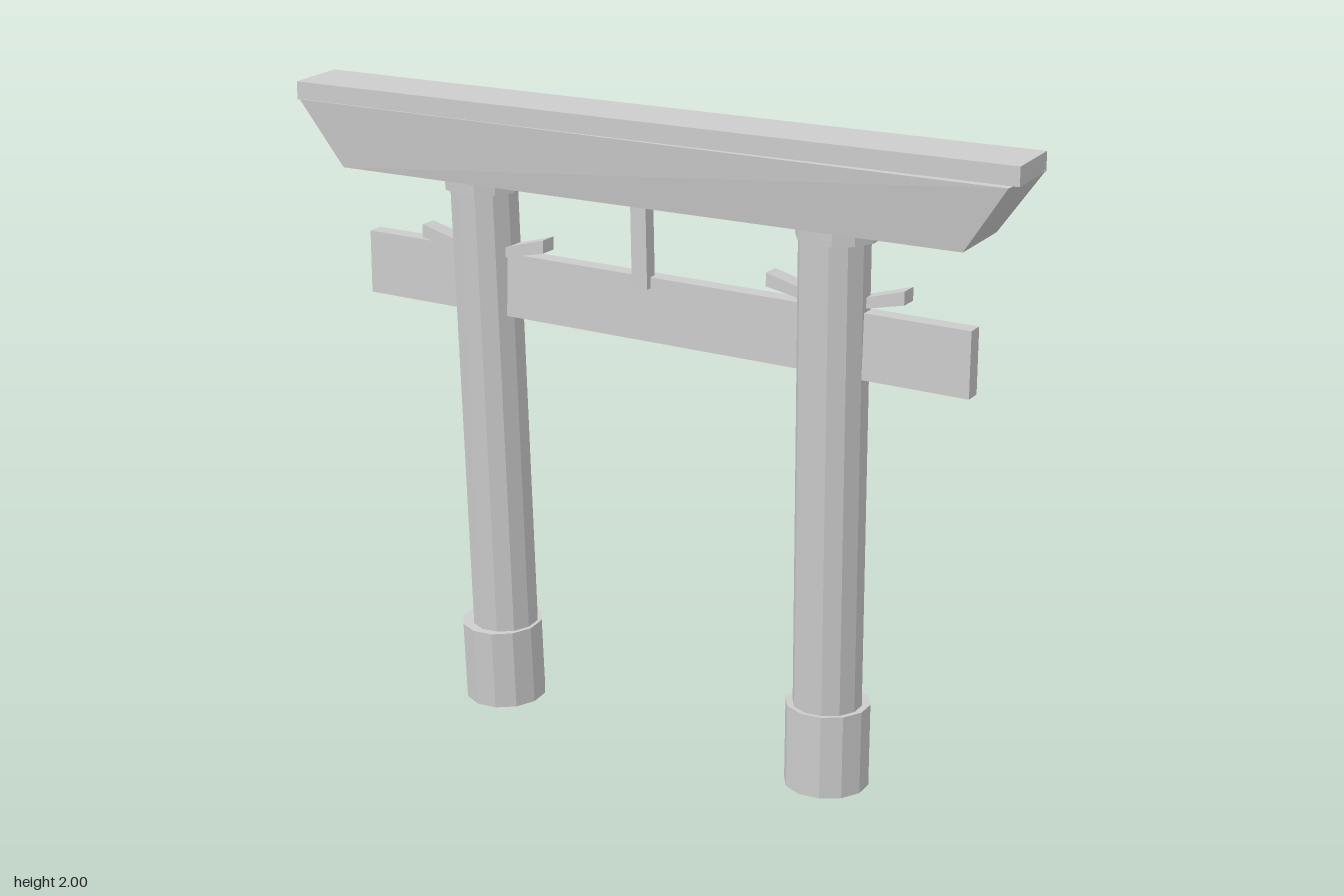
import * as THREE from 'three';

const material = new THREE.MeshStandardMaterial({ color: 0xcccccc, flatShading: true });

function add(parent, name, geometry) {
  const mesh = new THREE.Mesh(geometry, material);
  mesh.name = name;
  parent.add(mesh);
  return mesh;
}

// Six-sided block; each corner list runs left-front, right-front, right-back, left-back
function block(parent, name, bottom, top) {
  const geometry = new THREE.BoxGeometry(1, 1, 1);
  const p = geometry.attributes.position;
  for (let i = 0; i < p.count; i++) {
    const right = p.getX(i) > 0, front = p.getZ(i) > 0;
    const corner = front ? (right ? 1 : 0) : (right ? 2 : 3);
    p.setXYZ(i, ...(p.getY(i) > 0 ? top : bottom)[corner]);
  }
  geometry.computeVertexNormals();
  return add(parent, name, geometry);
}

// Faceted cylinder between two points
function post(parent, name, from, to, r0, r1 = r0, sides = 12) {
  const a = new THREE.Vector3(...from), b = new THREE.Vector3(...to);
  const axis = b.clone().sub(a);
  const mesh = add(parent, name, new THREE.CylinderGeometry(r1, r0, axis.length(), sides));
  mesh.position.copy(a).add(b).multiplyScalar(0.5);
  mesh.quaternion.setFromUnitVectors(new THREE.Vector3(0, 1, 0), axis.normalize());
  return mesh;
}

// Thin wedge resting on the tie beam, growing thicker away from the pillar
function wedge(parent, [cx, y, cz], side) {
  const along = [0.69 * side, 0.724 * side], across = [-0.724 * 0.03, 0.69 * 0.03];
  const at = (d, s, h) => [cx + along[0] * d + across[0] * s, y + h, cz + along[1] * d + across[1] * s];
  const ring = (hIn, hOut) => {
    const [l, r] = side > 0 ? [[0.07, hIn], [0.215, hOut]] : [[0.215, hOut], [0.07, hIn]];
    return [at(l[0], 1, l[1]), at(r[0], 1, r[1]), at(r[0], -1, r[1]), at(l[0], -1, l[1])];
  };
  block(parent, 'wedge', ring(-0.025, 0.005), ring(0.005, 0.045));
}

export function createModel() {
  const gate = new THREE.Group();
  gate.name = 'gate';

  // Top slab and the sloping-ended lintel beneath it
  block(gate, 'topSlab',
    [[-0.87, 1.94, -0.79], [0.73, 1.93, 0.92], [0.87, 1.935, 0.78], [-0.73, 1.945, -0.93]],
    [[-0.87, 1.995, -0.79], [0.73, 1.985, 0.92], [0.87, 1.99, 0.78], [-0.73, 2.0, -0.93]]);
  block(gate, 'lintel',
    [[-0.755, 1.745, -0.69], [0.635, 1.73, 0.785], [0.79, 1.745, 0.655], [-0.62, 1.76, -0.815]],
    [[-0.865, 1.942, -0.78], [0.705, 1.925, 0.905], [0.865, 1.94, 0.79], [-0.715, 1.95, -0.90]]);

  // Tie beam running through both pillars
  const tie = [[-0.66, 1.325, -0.79], [0.705, 1.29, 0.705], [0.745, 1.29, 0.665], [-0.62, 1.325, -0.83]];
  block(gate, 'tieBeam', tie, tie.map(([x, y, z]) => [x, y + 0.195, z]));

  // Short strut between tie beam and lintel
  const strut = [[-0.035, -0.068], [0, -0.031], [0.035, -0.068], [0, -0.105]];
  block(gate, 'strut', strut.map(([x, z]) => [x + 0.003, 1.47, z]), strut.map(([x, z]) => [x - 0.003, 1.77, z]));

  // Leaning pillars: foot, shaft, cap, wedges and chips given as [z, y]
  const pillars = [
    {
      name: 'rightPillar', foot: [[-0.308, 0.03, -0.565], [-0.32, 0.285, -0.555]],
      shaft: [[-0.309, 0.25, -0.549], [-0.366, 1.74, -0.502]],
      cap: [[-0.36, 1.7, -0.508], [-0.361, 1.76, -0.506]], wedge: [-0.36, 1.522, -0.495],
      chips: [[-0.57, 0.92], [-0.55, 0.86], [-0.585, 0.79], [-0.615, 0.78], [-0.6, 0.65], [-0.59, 0.55], [-0.605, 0.43], [-0.58, 0.44]],
    },
    {
      name: 'leftPillar', foot: [[0.46, 0, 0.315], [0.46, 0.26, 0.315]],
      shaft: [[0.455, 0.22, 0.323], [0.42, 1.74, 0.392]],
      cap: [[0.432, 1.7, 0.393], [0.431, 1.76, 0.395]], wedge: [0.447, 1.52, 0.362],
      chips: [[0.31, 0.89], [0.28, 0.77], [0.28, 0.74], [0.28, 0.63], [0.26, 0.55], [0.25, 0.42], [0.265, 0.405]],
    },
  ];
  for (const spec of pillars) {
    const pillar = new THREE.Group();
    pillar.name = spec.name;
    gate.add(pillar);
    post(pillar, 'foot', ...spec.foot, 0.128);
    post(pillar, 'shaft', ...spec.shaft, 0.104);
    post(pillar, 'cap', ...spec.cap, 0.123);
    for (const side of [-1, 1]) wedge(pillar, spec.wedge, side);

    // Small splinters standing out from the weathered side
    const [a, b] = spec.shaft;
    spec.chips.forEach(([z, y], i) => {
      const t = (y - a[1]) / (b[1] - a[1]);
      const dz = z - (a[2] + (b[2] - a[2]) * t);
      const x = a[0] + (b[0] - a[0]) * t + Math.sqrt(0.1 ** 2 - Math.min(dz * dz, 0.009));
      const chip = add(pillar, 'splinter', new THREE.TetrahedronGeometry(0.027));
      chip.position.set(x, y, z);
      chip.rotation.set(i * 1.3, i * 2.1, i * 0.7);
      chip.scale.set(1, 1, 0.6);
    });
  }
  return gate;
}
